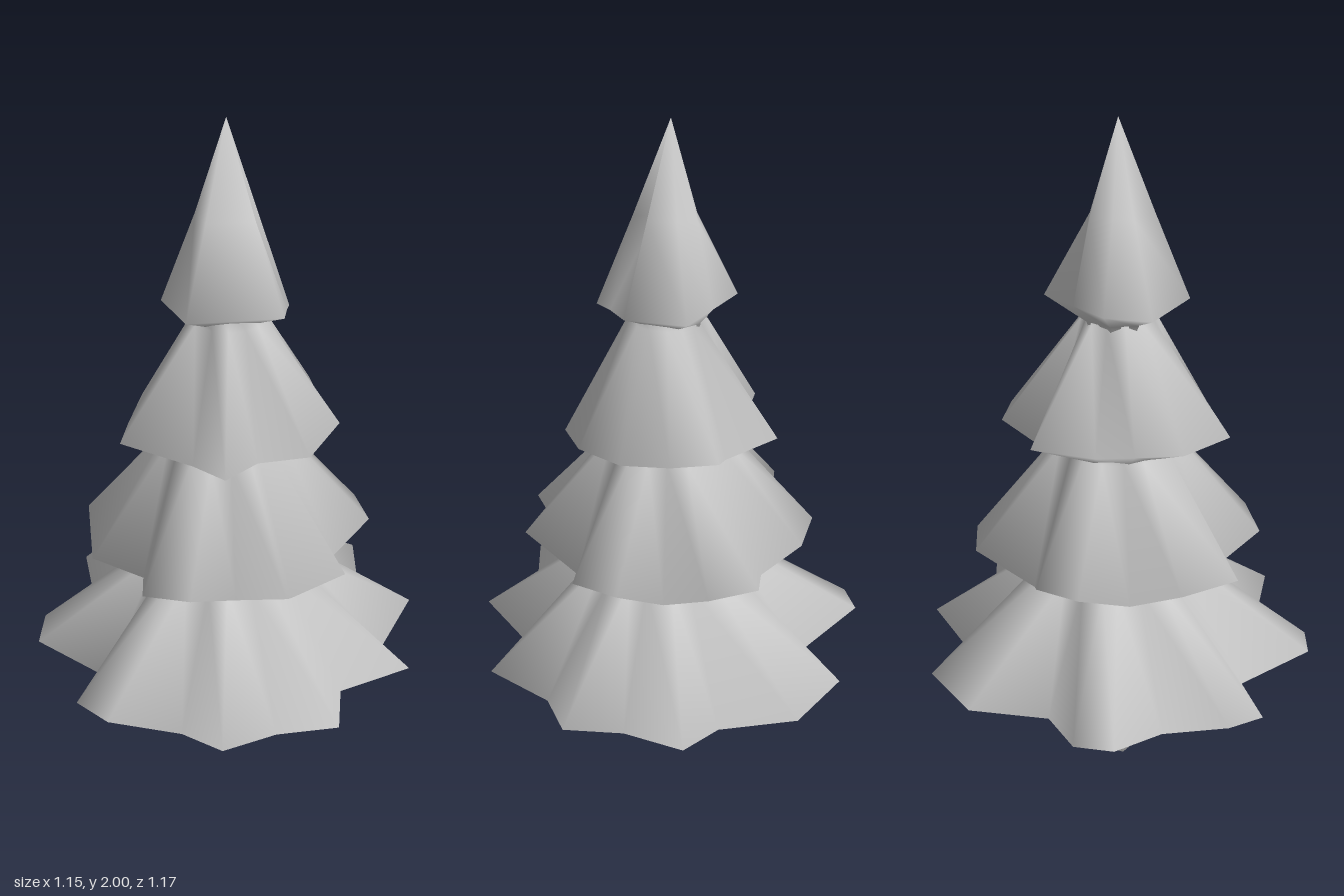
import * as THREE from 'three';
import { mergeVertices } from 'three/addons/utils/BufferGeometryUtils.js';

const material = new THREE.MeshStandardMaterial({ color: 0xcccccc });

// Skin a stack of equal-length rings of [x, y, z] points, listed bottom to top,
// with soft normals running over every edge.
function loft(name, rings) {
  const n = rings[0].length;
  const positions = [];
  const same = (p, q) => p.every((v, i) => Math.abs(v - q[i]) < 1e-6);
  const triangle = (a, b, c) => {
    if (!same(a, b) && !same(b, c) && !same(c, a)) positions.push(...a, ...b, ...c);
  };
  for (let r = 0; r < rings.length - 1; r++) {
    for (let i = 0; i < n; i++) {
      const j = (i + 1) % n;
      const [a, b] = [rings[r], rings[r + 1]];
      triangle(a[i], b[i], b[j]);
      triangle(a[i], b[j], a[j]);
    }
  }
  const geometry = new THREE.BufferGeometry();
  geometry.setAttribute('position', new THREE.Float32BufferAttribute(positions, 3));
  const welded = mergeVertices(geometry);
  welded.computeVertexNormals();
  const mesh = new THREE.Mesh(welded, material);
  mesh.name = name;
  return mesh;
}

// A round ring whose points share the directions of the rim points.
const roundRing = (rim, radius, y, cx = 0, cz = 0) => rim.map(([x, z]) => {
  const s = radius / Math.hypot(x, z);
  return [cx + x * s, y, cz + z * s];
});
const rimRing = (rim) => rim.map(([x, z, y]) => [x, y, z]);

// Jagged skirt of branches: underside, rim of tips and notches, narrow shoulder
// and a short collar hidden inside the tier above.
function branchTier(name, { rim, under, shoulder }) {
  const [topR, topY, cx, cz] = shoulder;
  return loft(name, [
    ...under.map(([radius, y]) => roundRing(rim, radius, y)),
    rimRing(rim),
    roundRing(rim, topR, topY, cx, cz),
    roundRing(rim, topR, topY + 0.08, cx, cz),
  ]);
}

// Rim points are [x, z, y]: raised tips alternate with lower notches.
// Underside rings are [radius, y].
const tiers = {
  bottomBranches: {
    rim: [
      [0.575, 0.11, 0.43], [0.43, 0.21, 0.37], [0.42, 0.41, 0.43], [0.24, 0.4, 0.365],
      [0.115, 0.565, 0.43], [0.0, 0.585, 0.44], [-0.1, 0.4, 0.365], [-0.32, 0.485, 0.42],
      [-0.4, 0.4, 0.43], [-0.39, 0.21, 0.37], [-0.565, 0.11, 0.43], [-0.58, 0, 0.44],
      [-0.39, -0.12, 0.37], [-0.475, -0.33, 0.43], [-0.33, -0.49, 0.43], [-0.11, -0.45, 0.37],
      [0.0, -0.59, 0.43], [0.16, -0.45, 0.37], [0.33, -0.49, 0.43], [0.38, -0.3, 0.37],
      [0.545, -0.23, 0.43], [0.43, -0.06, 0.37],
    ],
    under: [[0, 0.325], [0.34, 0.355]],
    shoulder: [0.215, 0.7, 0.01, 0],
  },
  lowerBranches: {
    rim: [
      [0.34, 0.07, 0.73], [0.4, 0.15, 0.8], [0.25, 0.2, 0.74], [0.23, 0.35, 0.8],
      [0.1, 0.41, 0.78], [-0.03, 0.3, 0.72], [-0.16, 0.38, 0.76], [-0.34, 0.25, 0.8],
      [-0.31, 0.1, 0.73], [-0.42, -0.02, 0.8], [-0.37, -0.15, 0.79], [-0.25, -0.19, 0.72],
      [-0.22, -0.37, 0.8], [-0.08, -0.41, 0.8], [0.04, -0.33, 0.73], [0.17, -0.38, 0.8],
      [0.29, -0.31, 0.8], [0.28, -0.17, 0.73], [0.43, -0.05, 0.8],
    ],
    under: [[0.2, 0.6], [0.2, 0.695]],
    shoulder: [0.175, 1.09, 0, 0],
  },
  upperBranches: {
    rim: [
      [0.19, 0.06, 1.1], [0.23, 0.22, 1.13], [0.08, 0.2, 1.1], [-0.07, 0.33, 1.16],
      [-0.17, 0.22, 1.14], [-0.25, 0.1, 1.16], [-0.2, -0.02, 1.12], [-0.28, -0.18, 1.17],
      [-0.14, -0.17, 1.1], [-0.11, -0.31, 1.17], [0.02, -0.32, 1.17], [0.15, -0.25, 1.14],
      [0.26, -0.19, 1.16], [0.3, -0.03, 1.13],
    ],
    under: [[0.16, 1.0], [0.16, 1.085]],
    shoulder: [0.105, 1.46, 0.01, 0],
  },
};

export function createModel() {
  const tree = new THREE.Group();
  tree.name = 'tree';

  for (const [name, tier] of Object.entries(tiers)) tree.add(branchTier(name, tier));

  // Pointed crown: a raised fold at the back right, a deep crease at the left
  const crownRim = [
    [0.05, 0.19, 1.51], [-0.13, 0.12, 1.5], [-0.18, 0, 1.52], [-0.105, -0.1, 1.52],
    [-0.03, -0.2, 1.52], [0.13, -0.11, 1.5], [0.165, -0.065, 1.51], [0.2, -0.02, 1.51],
  ];
  const pinch = [0.5, 0.46, 0.38, 0.62, 0.37, 0.5, 0.25, 0.5];
  tree.add(loft('crown', [
    roundRing(crownRim, 0.095, 1.4),
    roundRing(crownRim, 0.1, 1.465),
    rimRing(crownRim),
    crownRim.map(([x, z], i) => [x * pinch[i], 1.75, z * pinch[i]]),
    roundRing(crownRim, 0, 2),
  ]));

  // Crooked five-sided trunk: sections are [radius, y, centre x, centre z]
  const sides = Array.from({ length: 5 }, (_, i) => {
    const a = (i * 2 / 5 - 3 / 4) * Math.PI;
    return [Math.cos(a), Math.sin(a)];
  });
  const sections = [
    [0, 0, 0.01, -0.002], [0.062, 0, 0.01, -0.002], [0.07, 0.2, -0.024, 0.008],
    [0.058, 0.36, -0.018, 0.018],
  ];
  tree.add(loft('trunk', sections.map((s) => roundRing(sides, ...s))));

  return tree;
}
